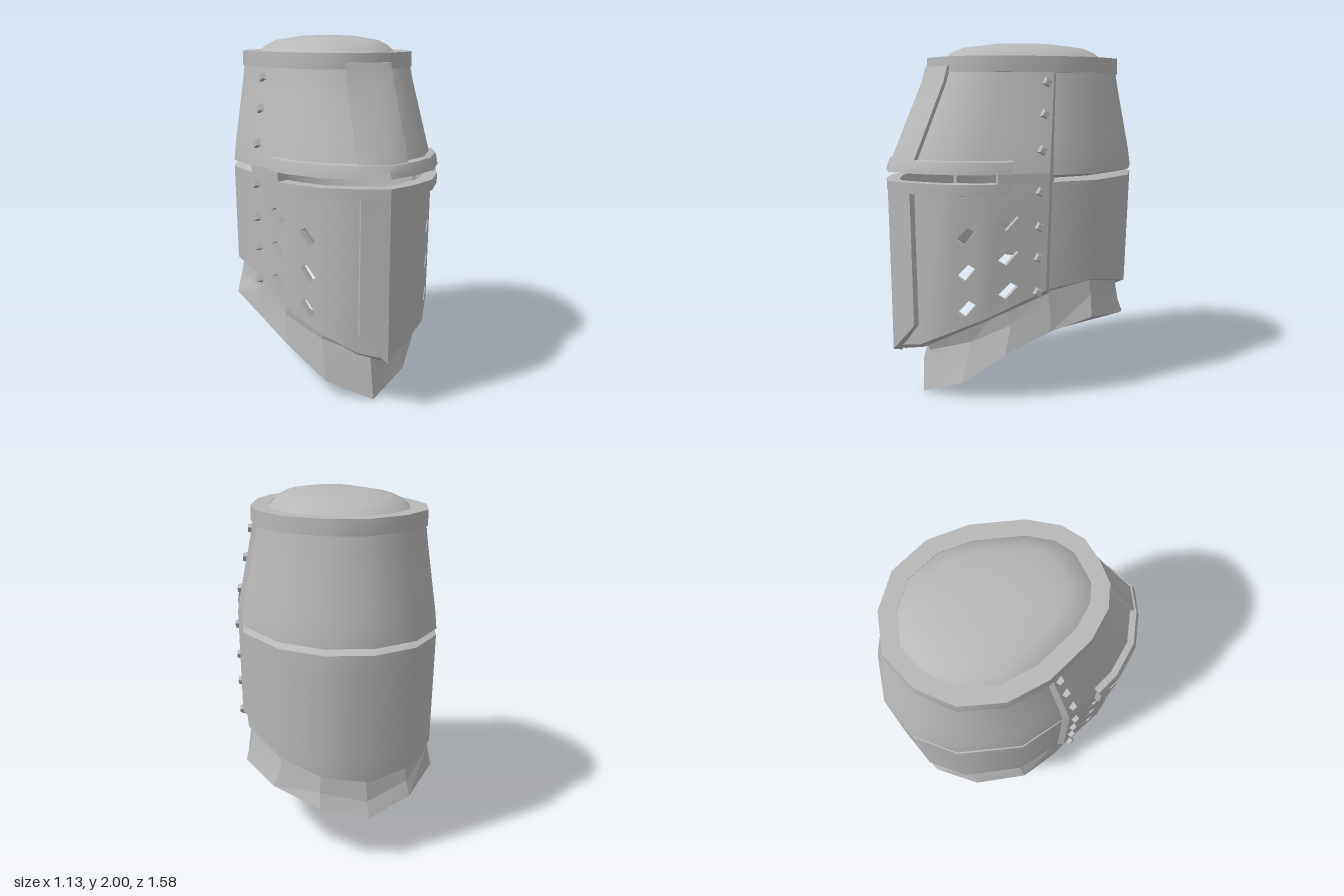
import * as THREE from 'three';
import { mergeGeometries, toCreasedNormals } from 'three/addons/utils/BufferGeometryUtils.js';

// Half plan outlines [x, z], from front centre round the left side to back centre
const LOW = [[0, .755], [.14, .69], [.30, .59], [.41, .42], [.535, .08], [.545, -.2], [.43, -.52], [.245, -.69], [0, -.75]];
const MID = [[0, .76], [.14, .705], [.30, .60], [.42, .43], [.55, .06], [.56, -.2], [.44, -.54], [.25, -.72], [0, -.785]];
const TOP = [[0, .48], [.13, .47], [.25, .40], [.36, .25], [.455, -.02], [.468, -.25], [.385, -.47], [.215, -.615], [0, -.68]];
const HEM = [.28, .31, .40, .48, .62, .65, .58, .52, .49];
const Y_LOW = .45, Y_MID = 1.3, Y_TOP = 1.83;
const SLIT_LO = 1.24, SLIT_HI = 1.29;
const lerp = THREE.MathUtils.lerp;

// Outline knot k (any integer, 16 per turn), mirrored on the far side
function knot(table, k) {
  k = ((k % 16) + 16) % 16;
  return k <= 8 ? table[k] : [-table[16 - k][0], table[16 - k][1]];
}
function along(table, u) {
  const k = Math.floor(u), a = knot(table, k), b = knot(table, k + 1);
  return [lerp(a[0], b[0], u - k), lerp(a[1], b[1], u - k)];
}
function normalAtKnot(k) {
  const a = knot(MID, k - 1), b = knot(MID, k + 1), dx = b[0] - a[0], dz = b[1] - a[1], l = Math.hypot(dx, dz);
  return [-dz / l, dx / l];
}
// Point of the helm wall at outline position u and height y, pushed outward by off
function wall(u, y, off = 0) {
  const lower = y < Y_MID;
  const t = lower ? (y - Y_LOW) / (Y_MID - Y_LOW) : Math.min(1, (y - Y_MID) / (Y_TOP - Y_MID));
  const a = along(lower ? LOW : MID, u), b = along(lower ? MID : TOP, u);
  const k = Math.floor(u), n0 = normalAtKnot(k), n1 = normalAtKnot(k + 1);
  return new THREE.Vector3(
    lerp(a[0], b[0], t) + off * lerp(n0[0], n1[0], u - k), y,
    lerp(a[1], b[1], t) + off * lerp(n0[1], n1[1], u - k));
}
function hem(u) {
  const at = k => { k = ((k % 16) + 16) % 16; return HEM[k <= 8 ? k : 16 - k]; };
  const k = Math.floor(u);
  return lerp(at(k), at(k + 1), u - k);
}

// Collects quads into a geometry
function mesher() {
  const pos = [];
  const tri = (a, b, c) => {
    if (a.distanceTo(b) > 1e-6 && b.distanceTo(c) > 1e-6 && a.distanceTo(c) > 1e-6) pos.push(...a.toArray(), ...b.toArray(), ...c.toArray());
  };
  return {
    quad(a, b, c, d) { tri(a, b, c); tri(a, c, d); },
    build(crease) {
      const g = new THREE.BufferGeometry();
      g.setAttribute('position', new THREE.Float32BufferAttribute(pos, 3));
      g.computeVertexNormals();
      return toCreasedNormals(g, crease);
    },
  };
}

// Solid plate following the wall; bu, bl, bh bevel its ends, bottom and top
function plate(u0, u1, lo, hi, out, inn, { bu = 0, bl = 0, bh = 0, rows = 6 } = {}) {
  const f = v => (typeof v === 'function' ? v : () => v);
  const L = f(lo), H = f(hi), O = f(out);
  const us = [u0];
  for (let k = Math.floor(u0) + 1; k < u1; k++) us.push(k);
  us.push(u1);
  const grid = outer => us.map((u, i) => {
    const uu = outer ? u + (i === 0 ? bu : i === us.length - 1 ? -bu : 0) : u;
    const a = L(uu) + (outer ? bl : 0), b = H(uu) - (outer ? bh : 0);
    return Array.from({ length: rows + 1 }, (_, j) => wall(uu, lerp(a, b, j / rows), outer ? O(uu) : inn));
  });
  const P = grid(true), Q = grid(false), m = mesher(), n = us.length - 1;
  for (let i = 0; i < n; i++) {
    for (let j = 0; j < rows; j++) {
      m.quad(P[i][j], P[i + 1][j], P[i + 1][j + 1], P[i][j + 1]);
      m.quad(Q[i][j], Q[i][j + 1], Q[i + 1][j + 1], Q[i + 1][j]);
    }
    m.quad(Q[i][0], Q[i + 1][0], P[i + 1][0], P[i][0]);
    m.quad(P[i][rows], P[i + 1][rows], Q[i + 1][rows], Q[i][rows]);
  }
  for (let j = 0; j < rows; j++) {
    m.quad(Q[0][j], P[0][j], P[0][j + 1], Q[0][j + 1]);
    m.quad(P[n][j], Q[n][j], Q[n][j + 1], P[n][j + 1]);
  }
  return m.build(.65);
}

// Skin over closed rings listed from bottom to top
function loft(rings, crease) {
  const m = mesher();
  for (let r = 0; r + 1 < rings.length; r++) {
    const a = rings[r], b = rings[r + 1], n = a.length;
    for (let i = 0; i < n; i++) m.quad(a[i], a[(i + 1) % n], b[(i + 1) % n], b[i]);
  }
  return m.build(crease);
}

// Lower face plate: one extruded strip per column, pierced with breath holes, bent onto the wall
function piercedFacePlate() {
  const strips = [];
  for (let k = -4; k < 4; k++) {
    const shape = new THREE.Shape([[k, hem(k)], [k + 1, hem(k + 1)], [k + 1, SLIT_LO], [k, SLIT_LO]].map(p => new THREE.Vector2(...p)));
    const s = k < 0 ? -1 : 1, col = k < 0 ? -k - 1 : k;
    const rows = col === 2 ? [.96, .76, .56] : col === 3 ? [1.035, .845, .655] : [];
    const cu = col === 2 ? 2.47 : 3.32, w = col === 2 ? .5 : .3;
    for (const y of rows) {
      shape.holes.push(new THREE.Path([[-.5, -.022], [-.1, -.05], [.5, .022], [.12, .045]]
        .map(([a, b]) => new THREE.Vector2(s * (cu + a * w), y + b))));
    }
    const g = new THREE.ExtrudeGeometry(shape, { depth: 1, bevelEnabled: false });
    const p = g.attributes.position;
    for (let i = 0; i < p.count; i++) {
      let u = p.getX(i), y = p.getY(i);
      const outer = p.getZ(i) > .5;
      if (outer && Math.abs(y - hem(u)) < 1e-4) y += .025;
      if (outer && Math.abs(u) > 3.999) u *= .975;
      p.setXYZ(i, ...wall(u, y, outer ? 0 : -.04).toArray());
    }
    g.clearGroups();
    strips.push(g);
  }
  return toCreasedNormals(mergeGeometries(strips), .5);
}

export function createModel() {
  const helm = new THREE.Group();
  helm.name = 'helm';
  const steel = new THREE.MeshStandardMaterial({ color: 0xb8b8b8 });
  steel.name = 'steel grey';
  const add = (name, geometry) => {
    const mesh = new THREE.Mesh(geometry, steel);
    mesh.name = name;
    helm.add(mesh);
    return mesh;
  };

  // Back plates, tucked under the face plate and parted by a bevelled groove
  const tuck = u => -.03 * Math.max(0, 1 - Math.max(0, Math.min(u - 4, 12 - u)));
  add('backPlateLower', plate(3.8, 12.2, hem, 1.258, tuck, -.065, { bl: .025, bh: .02 }));
  add('backPlateUpper', plate(3.8, 12.2, 1.258, 1.85, tuck, -.065, { bl: .017 }));

  // Face plates above, below and beside the eye slit
  add('facePlateLower', piercedFacePlate());
  add('facePlateUpper', plate(-4, 4, SLIT_HI, 1.85, 0, -.04, { bu: .1 }));
  add('leftTemple', plate(3.16, 4, SLIT_LO, SLIT_HI, 0, -.04, { bu: .1, rows: 1 }));
  add('rightTemple', plate(-4, -3.16, SLIT_LO, SLIT_HI, 0, -.04, { bu: .1, rows: 1 }));

  // Raised frame round the slit
  add('slitFrameTop', plate(-3.35, 3.35, SLIT_HI, 1.365, .035, -.04, { bh: .01, rows: 2 }));
  add('slitFrameBottom', plate(-3.35, 3.35, 1.17, SLIT_LO, .035, -.04, { bl: .01, rows: 2 }));
  add('slitFrameLeftEnd', plate(3.16, 3.35, SLIT_LO, SLIT_HI, .035, -.04, { rows: 1 }));
  add('slitFrameRightEnd', plate(-3.35, -3.16, SLIT_LO, SLIT_HI, .035, -.04, { rows: 1 }));

  // Cross bars
  add('crossBarUpper', plate(-1, 1, 1.35, 1.86, .025, -.02, { bu: .08 }));
  add('crossBarLower', plate(-1, 1, u => lerp(.275, .45, Math.abs(u)), 1.18, .032, -.02, { bu: .09, bl: .012 }));

  // Crown collar and domed lid
  add('crownCollar', plate(0, 16, 1.825, 1.91, .01, -.085, { rows: 1 }));
  const lidRing = (s, y) => Array.from({ length: 16 }, (_, u) => {
    const p = wall(u, 1.9, -.083);
    return new THREE.Vector3(p.x * s, y, -.09 + (p.z + .09) * s);
  });
  add('crownLid', loft([lidRing(1, 1.905), lidRing(.9, 1.942), lidRing(.76, 1.97), lidRing(.4, 1.994), lidRing(0, 2)], 1));

  // Flared neck guard with a closed underside; half rings as [x, y, z]
  const fullRing = half => {
    const back = half.slice(1, -1).reverse().map(([x, y, z]) => [-x, y, z]);
    return [...half, ...back].map(p => new THREE.Vector3(...p));
  };
  const rim = [[0, 0, .6], [.24, .1, .48], [.41, .28, .3], [.51, .4, .06], [.565, .46, -.18], [.47, .42, -.47], [.26, .35, -.67], [0, .29, -.74]];
  const waist = [[0, .24, .555], [.24, .33, .42], [.4, .44, .26], [.49, .55, .06], [.53, .58, -.2], [.43, .52, -.48], [.25, .43, -.64], [0, .37, -.7]];
  const collar = waist.map(([x, y, z]) => [x * .96, y + .13, z > 0 ? z * 1.12 : z * .97]);
  const hub = rim.map(() => [0, .2, -.13]);
  add('neckGuard', loft([hub, rim, waist, collar].map(fullRing), .15));

  // Rivets along both edges of the face plate
  const rivet = new THREE.CylinderGeometry(.022, .032, .035, 4).toNonIndexed();
  rivet.computeVertexNormals();
  const up = new THREE.Vector3(0, 1, 0);
  for (const side of [1, -1]) {
    for (const y of [.64, .83, 1, 1.19, 1.41, 1.6, 1.77]) {
      const u = side * 3.77, p = wall(u, y, .008);
      const mesh = add(side > 0 ? 'leftRivet' : 'rightRivet', rivet);
      mesh.position.copy(p);
      mesh.quaternion.setFromUnitVectors(up, wall(u, y, 1).sub(wall(u, y)).normalize());
    }
  }
  return helm;
}
